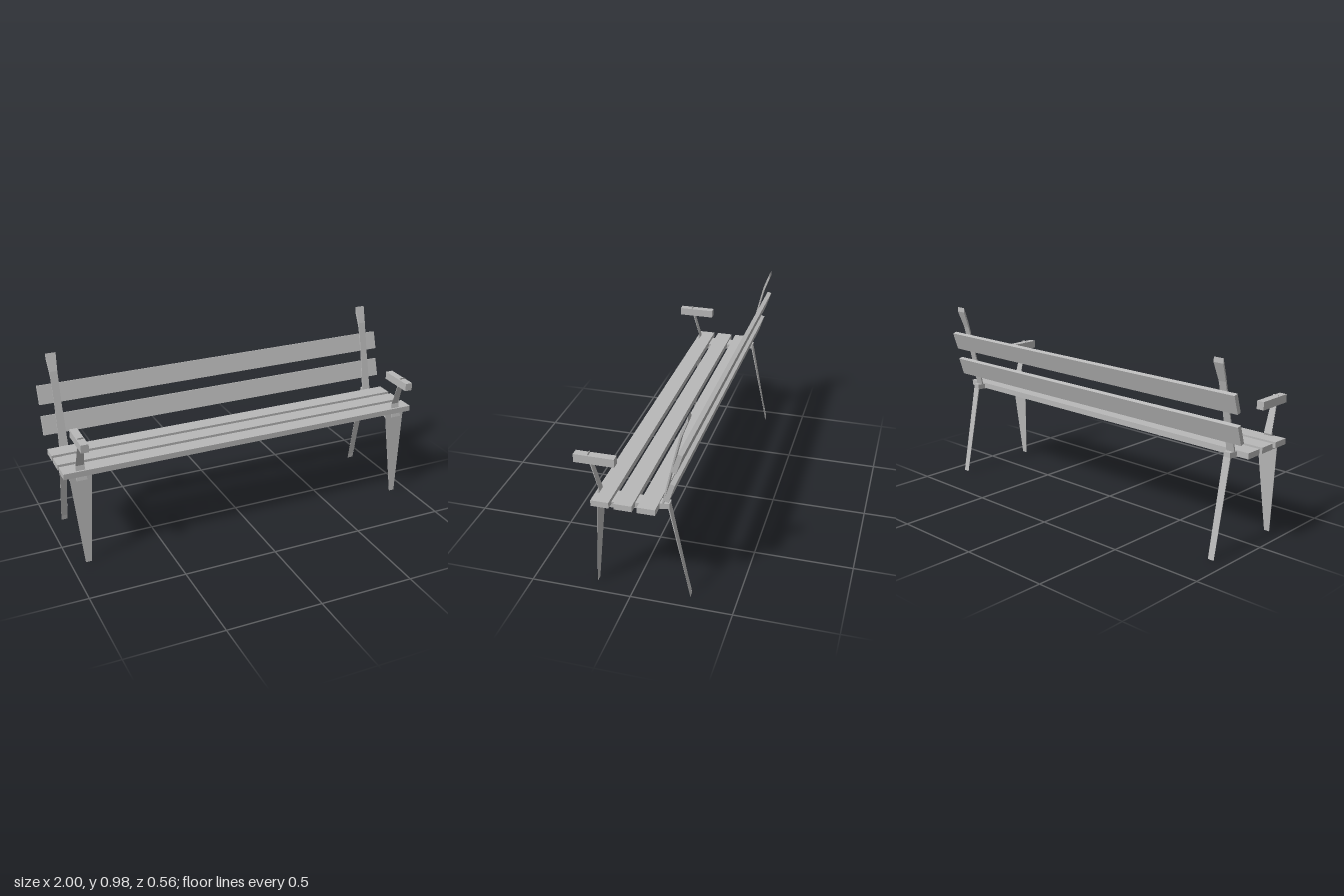
import * as THREE from 'three';

const END_X = 0.91; // distance of the supports from the middle

// Four-sided bar through sections [zA, yA, zB, yB, halfWidth], with flat capped ends
function strap(sections) {
  const rings = sections.map(([zA, yA, zB, yB, w]) => [
    [-w, yA, zA], [w, yA, zA], [w, yB, zB], [-w, yB, zB],
  ]);
  const pos = [];
  const quad = (a, b, c, d) => [a, b, c, a, c, d].forEach((p) => pos.push(...p));
  for (let s = 0; s < rings.length - 1; s++) {
    for (let i = 0; i < 4; i++) {
      const j = (i + 1) % 4;
      quad(rings[s][i], rings[s][j], rings[s + 1][j], rings[s + 1][i]);
    }
  }
  const first = rings[0], last = rings[rings.length - 1];
  quad(first[3], first[2], first[1], first[0]);
  quad(last[0], last[1], last[2], last[3]);
  const geo = new THREE.BufferGeometry();
  geo.setAttribute('position', new THREE.Float32BufferAttribute(pos, 3));
  geo.computeVertexNormals();
  return geo;
}

export function createModel() {
  const bench = new THREE.Group();
  bench.name = 'bench';
  const grey = new THREE.MeshStandardMaterial({ color: 0xb8b8b8 });
  grey.name = 'plain grey';

  const add = (parent, name, geo, x = 0, y = 0, z = 0) => {
    const mesh = new THREE.Mesh(geo, grey);
    mesh.name = name;
    mesh.position.set(x, y, z);
    parent.add(mesh);
    return mesh;
  };

  // Seat slats
  const seatSlat = new THREE.BoxGeometry(2, 0.03, 0.087);
  [0.134, 0.023, -0.088].forEach((z) => add(bench, 'seatSlat', seatSlat, 0, 0.505, z));

  // Leaning backrest slats
  const backSlat = new THREE.BoxGeometry(2, 0.099, 0.023);
  [[0.622, -0.199], [0.778, -0.235]].forEach(([y, z]) => {
    add(bench, 'backSlat', backSlat, 0, y, z).rotation.x = -0.31;
  });

  const parts = {
    // Wide, thin plate tapering to the floor
    frontLeg: strap([
      [0.191, 0.005, 0.189, 0.005, 0.015],
      [0.158, 0.49, 0.156, 0.49, 0.058],
    ]),
    backLeg: strap([
      [-0.273, 0.03, -0.277, 0.003, 0.017],
      [-0.172, 0.492, -0.178, 0.492, 0.02],
    ]),
    // Under-seat rail narrowing towards the back
    seatRail: strap([
      [0.157, 0.497, 0.157, 0.467, 0.058],
      [-0.178, 0.517, -0.178, 0.489, 0.018],
    ]),
    // Upright with a bent, flared top
    backPost: strap([
      [-0.143, 0.515, -0.151, 0.515, 0.023],
      [-0.19, 0.72, -0.197, 0.72, 0.019],
      [-0.232, 0.896, -0.234, 0.868, 0.02],
      [-0.266, 0.985, -0.268, 0.96, 0.027],
    ]),
    // Bent strip holding the armrest
    armSupport: strap([
      [0.179, 0.47, 0.176, 0.47, 0.028],
      [0.161, 0.545, 0.156, 0.53, 0.022],
      [0.209, 0.695, 0.201, 0.69, 0.015],
      [0.212, 0.717, 0.209, 0.717, 0.015],
    ]),
  };
  const armrest = new THREE.BoxGeometry(0.04, 0.042, 0.198);

  // One set of supports at each end
  [['right', -1], ['left', 1]].forEach(([side, sign]) => {
    const frame = new THREE.Group();
    frame.name = side + 'Frame';
    frame.position.x = sign * END_X;
    for (const [name, geo] of Object.entries(parts)) add(frame, name, geo);
    add(frame, 'armrest', armrest, 0, 0.688, 0.18);
    bench.add(frame);
  });

  return bench;
}
